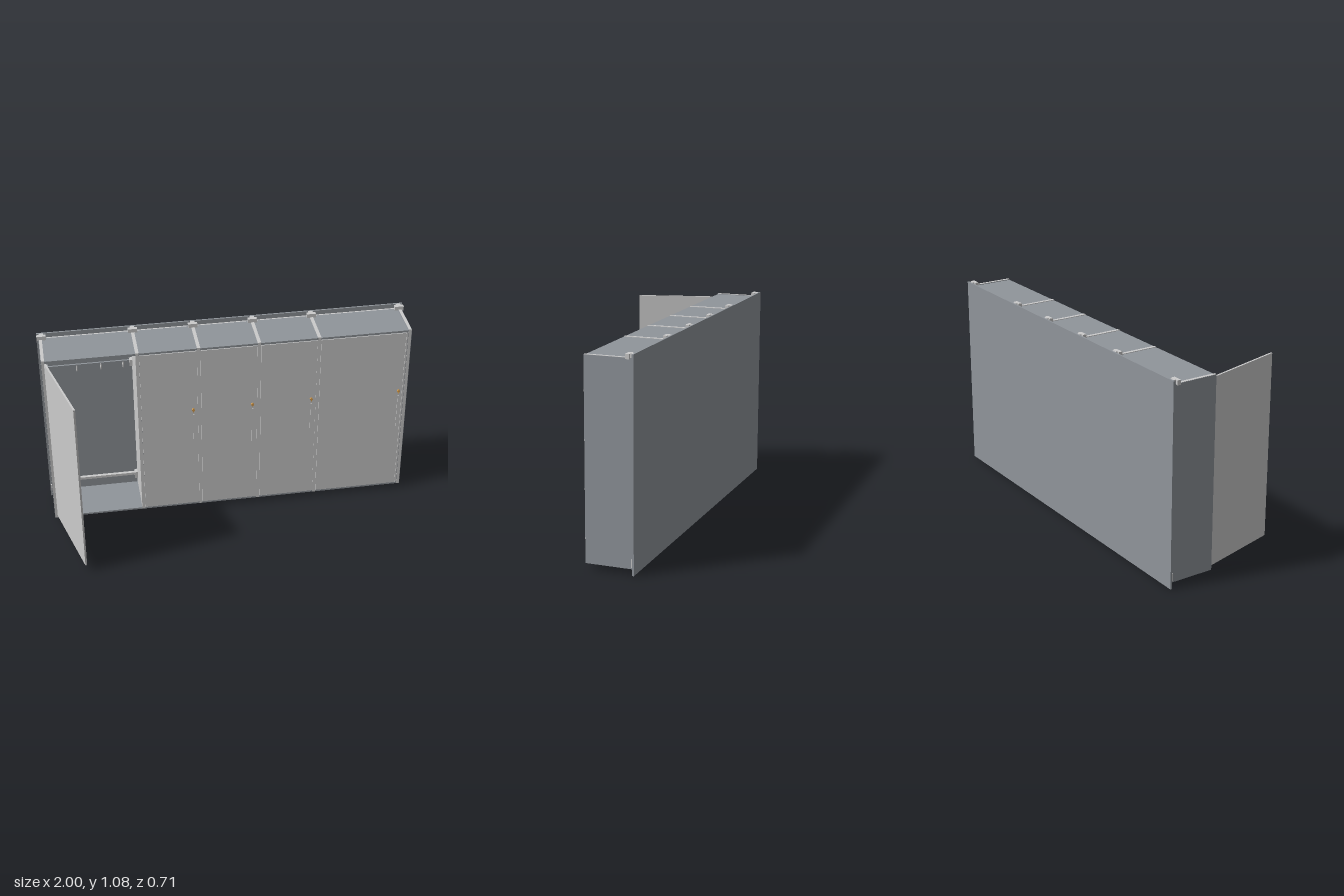
import * as THREE from 'three';

const grey = new THREE.MeshStandardMaterial({ color: 0xcccccc });
const carcass = new THREE.MeshStandardMaterial({ color: 0x90959b });
const brass = new THREE.MeshStandardMaterial({ color: 0xd9a050 });

// Box given by its limits on each axis
function box(parent, name, [x0, x1], [y0, y1], [z0, z1], material = grey) {
  const mesh = new THREE.Mesh(new THREE.BoxGeometry(x1 - x0, y1 - y0, z1 - z0), material);
  mesh.position.set((x0 + x1) / 2, (y0 + y1) / 2, (z0 + z1) / 2);
  mesh.name = name;
  parent.add(mesh);
  return mesh;
}

function coatHook(x) {
  const path = new THREE.CatmullRomCurve3([
    [0, 0.868, -0.325], [0, 0.855, -0.31], [0, 0.857, -0.297], [0, 0.875, -0.29], [0, 0.9, -0.288],
  ].map((p) => new THREE.Vector3(...p)));
  const hook = new THREE.Mesh(new THREE.TubeGeometry(path, 16, 0.004, 8), grey);
  hook.position.x = x;
  hook.name = 'coatHook';
  return hook;
}

export function createModel() {
  const model = new THREE.Group();
  model.name = 'lockerWall';
  const back = -0.345, front = -0.098;
  const dividers = [-0.49, -0.165, 0.16, 0.485];
  const posts = [-0.978, ...dividers, 0.978];

  // Wall panel behind all bays
  box(model, 'backPanel', [-1, 1], [0, 1.08], [-0.354, back], carcass);

  // End walls
  for (const s of [-1, 1]) {
    const [a, b] = [s * 0.97, s * 0.99].sort((m, n) => m - n);
    box(model, 'endWall', [a, b], [0.03, 1.06], [back, front], carcass);
    box(model, 'endTrim', [a + 0.002, b - 0.002], [0.031, 1.061], [-0.32, front + 0.001]);
    // Small rail bracket on the outside
    const [c, d] = [s * 0.99, s * 0.996].sort((m, n) => m - n);
    box(model, 'endBracket', [c, d], [0.04, 0.08], [back, -0.338]);
  }

  // Dividing walls
  for (const x of dividers) {
    box(model, 'divider', [x - 0.009, x + 0.009], [0.03, 1.06], [back, front]);
  }

  // Support posts with brackets above the roof
  for (const x of posts) {
    const c = Math.sign(x) * Math.min(Math.abs(x), 0.975);
    box(model, 'topBracket', [c - 0.025, c + 0.025], [1.055, 1.08], [-0.332, -0.312]);
    box(model, 'bracketStem', [c - 0.012, c + 0.012], [1.055, 1.08], [back, -0.332]);
  }
  box(model, 'rearRail', [-0.97, 0.97], [1.03, 1.055], [back, -0.333]);

  // Roof and floor of each bay
  for (let i = 0; i < posts.length - 1; i++) {
    const span = [posts[i] + 0.008, posts[i + 1] - 0.008];
    box(model, 'roof', span, [1.045, 1.057], [-0.333, front], carcass);
    box(model, 'floor', span, [0.03, 0.04], [back, front], carcass);
  }

  // Closed doors, each with a bar handle and lock
  const doors = [[-0.48, -0.175, -0.2], [-0.155, 0.15, 0.125], [0.17, 0.475, 0.45], [0.495, 0.96, 0.94]];
  for (const [x0, x1, hx] of doors) {
    box(model, 'door', [x0, x1], [0.042, 1.043], [-0.106, -0.096]);
    box(model, 'handleBar', [hx - 0.004, hx + 0.004], [0.435, 0.65], [-0.09, -0.085]);
    for (const y of [0.445, 0.64]) {
      box(model, 'handleFoot', [hx - 0.003, hx + 0.003], [y - 0.004, y + 0.004], [-0.097, -0.089]);
    }
    const lock = new THREE.Mesh(new THREE.CylinderGeometry(0.008, 0.008, 0.008, 16), brass);
    lock.rotation.x = Math.PI / 2;
    lock.position.set(hx, 0.675, -0.092);
    lock.name = 'lock';
    model.add(lock);
    box(model, 'key', [hx - 0.002, hx + 0.002], [0.662, 0.688], [-0.09, -0.085], brass);
  }
  box(model, 'doorStop', [0.962, 0.97], [0.04, 1.045], [-0.12, front]);

  // Open door swung past square on the left hinge
  const openDoor = new THREE.Group();
  openDoor.name = 'openDoor';
  openDoor.position.set(-0.97, 0, -0.1);
  openDoor.rotation.y = -Math.atan2(0.453, 0.12);
  box(openDoor, 'openDoorPanel', [0, 0.468], [0.042, 1.043], [-0.005, 0.005]);
  model.add(openDoor);

  // Fittings inside the open bay
  const inside = new THREE.Group();
  inside.name = 'openBayFittings';
  box(inside, 'hookRail', [-0.97, -0.5], [0.853, 0.88], [-0.335, -0.325], carcass);
  for (const x of [-0.8, -0.67, -0.55]) inside.add(coatHook(x));
  box(inside, 'shoeRail', [-0.97, -0.5], [0.11, 0.125], [-0.335, -0.318]);
  for (const x of [-0.962, -0.507]) {
    box(inside, 'hookRailBracket', [x - 0.008, x + 0.008], [0.848, 0.885], [back, -0.315]);
    box(inside, 'shoeRailBracket', [x - 0.008, x + 0.008], [0.09, 0.13], [back, -0.312]);
  }
  model.add(inside);

  return model;
}
